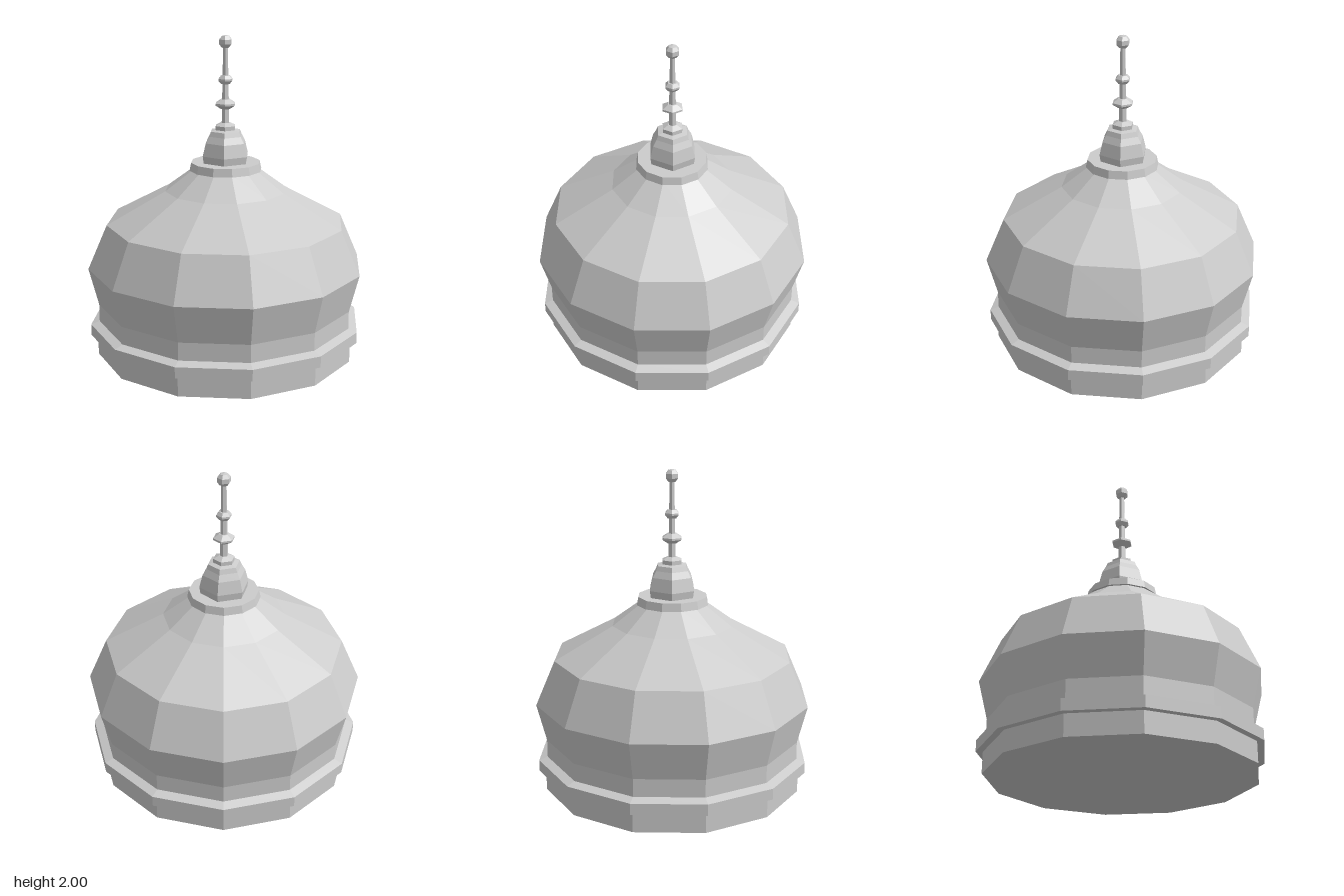
import * as THREE from 'three';

const material = new THREE.MeshStandardMaterial({ color: 0xcccccc, flatShading: true });

// Faceted turned part: profile is [radius, height] pairs from bottom to top.
function turned(name, profile, sides, startAngle = 0) {
  const points = profile.map(([r, y]) => new THREE.Vector2(r, y));
  const geometry = new THREE.LatheGeometry(points, sides, startAngle);
  const mesh = new THREE.Mesh(geometry, material);
  mesh.name = name;
  return mesh;
}

export function createModel() {
  const group = new THREE.Group();
  group.name = 'domeWithFinial';
  const twist = THREE.MathUtils.degToRad(46); // hexagonal finial is turned against the dome

  // Twelve-sided drum, with its projecting moulding
  group.add(turned('base', [[0, 0], [0.82, 0], [0.82, 0.13], [0, 0.13]], 12));
  group.add(turned('moulding', [[0.8, 0.13], [0.862, 0.13], [0.862, 0.2], [0.805, 0.22]], 12));

  // Bulging dome rising to the collar
  group.add(turned('dome', [
    [0.808, 0.2], [0.808, 0.33], [0.868, 0.568], [0.747, 0.845],
    [0.38, 1.045], [0.205, 1.175], [0, 1.175],
  ], 12));
  group.add(turned('collar', [[0, 1.17], [0.227, 1.17], [0.216, 1.22], [0, 1.22]], 12));

  // Six-sided finial
  const finial = new THREE.Group();
  finial.name = 'finial';
  finial.position.z = -0.004;
  finial.add(turned('bulb', [
    [0, 1.21], [0.148, 1.21], [0.156, 1.265], [0.135, 1.345], [0.112, 1.385],
    [0.1, 1.415], [0.067, 1.422], [0.067, 1.447], [0.03, 1.465], [0, 1.465],
  ], 6, twist));
  finial.add(turned('spire', [[0.026, 1.45], [0.016, 1.94]], 6, twist));

  // Pointed rings on the spire: [height, radius, half height]
  for (const [y, r, h] of [[1.58, 0.067, 0.03], [1.73, 0.047, 0.026]]) {
    finial.add(turned('spireRing', [
      [0.018, y - h], [0.03, y - h], [r, y - 0.006], [r, y + 0.006], [0.03, y + h], [0.018, y + h],
    ], 6, twist));
  }

  // Ball at the tip
  finial.add(turned('tipBall', [
    [0, 1.918], [0.025, 1.925], [0.042, 1.946], [0.042, 1.974], [0.025, 1.995], [0, 2],
  ], 6, twist));
  group.add(finial);

  return group;
}
